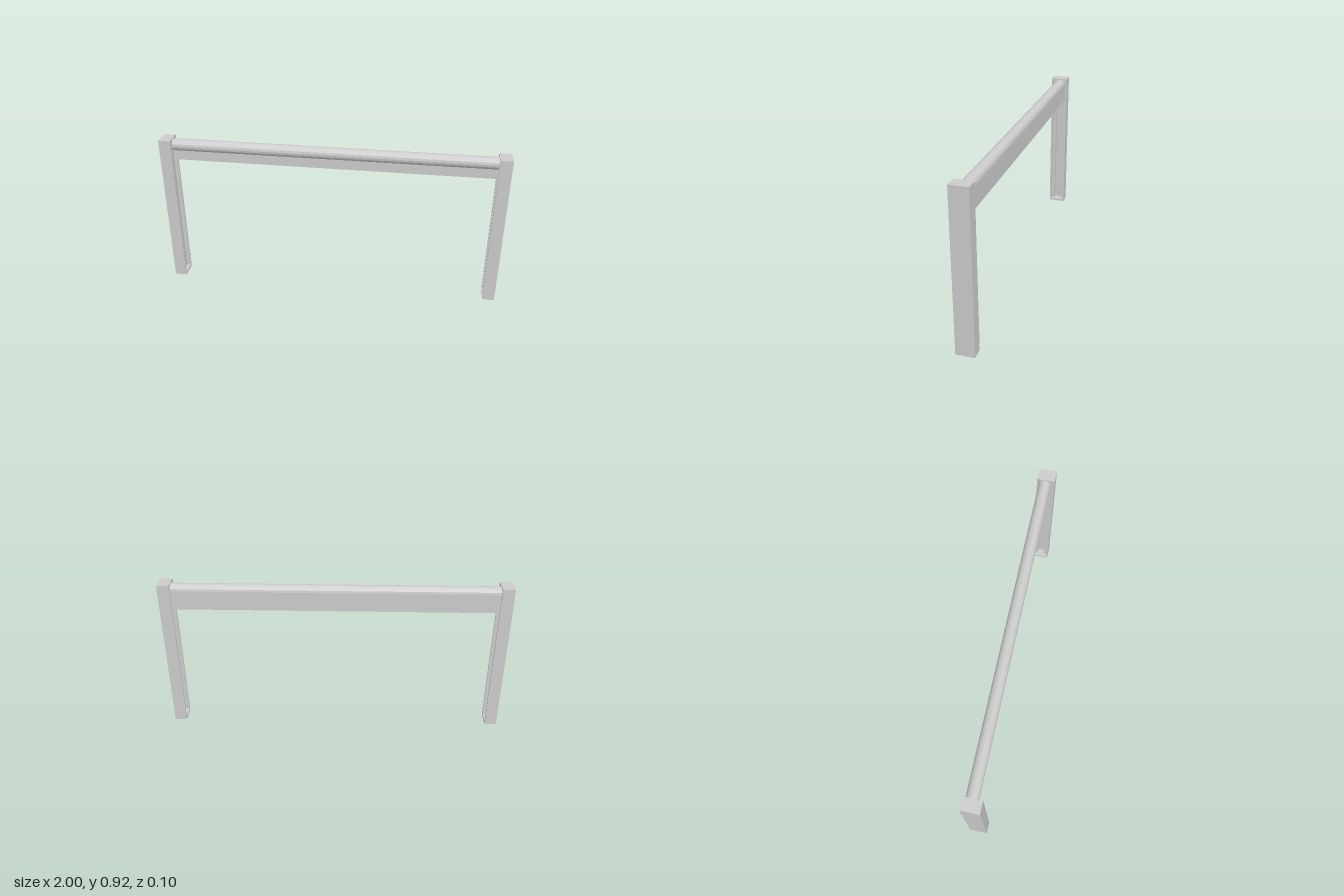
import * as THREE from 'three';

const HEIGHT = 0.92, DEPTH = 0.104, INNER = 0.93;

// Rectangular upright plate, optionally with a rectangular opening, extruded along -x
function plate(thickness, openHalf) {
  const h = DEPTH / 2;
  const shape = new THREE.Shape([
    new THREE.Vector2(-h, 0), new THREE.Vector2(h, 0),
    new THREE.Vector2(h, HEIGHT), new THREE.Vector2(-h, HEIGHT),
  ]);
  if (openHalf) {
    shape.holes.push(new THREE.Path([
      new THREE.Vector2(-openHalf, 0.014), new THREE.Vector2(-openHalf, HEIGHT - 0.01),
      new THREE.Vector2(openHalf, HEIGHT - 0.01), new THREE.Vector2(openHalf, 0.014),
    ]));
  }
  const geometry = new THREE.ExtrudeGeometry(shape, { depth: thickness, bevelEnabled: false });
  return geometry.rotateY(-Math.PI / 2);
}

export function createModel() {
  const model = new THREE.Group();
  const grey = new THREE.MeshStandardMaterial({ color: 0xcccccc, side: THREE.DoubleSide });
  const faceted = new THREE.MeshStandardMaterial({ color: 0xcccccc, flatShading: true });

  const add = (parent, name, geometry, material = grey) => {
    const mesh = new THREE.Mesh(geometry, material);
    mesh.name = name;
    parent.add(mesh);
    return mesh;
  };

  // Posts with a stepped guide channel on the inner side
  for (const [name, turn] of [['rightPost', 0], ['leftPost', Math.PI]]) {
    const post = new THREE.Group();
    post.name = name;
    add(post, 'channelRim', plate(0.025, 0.042)).position.x = -INNER;
    add(post, 'guideGroove', plate(0.025, 0.022)).position.x = -INNER - 0.025;
    add(post, 'outerWall', plate(0.02)).position.x = -INNER - 0.05;
    post.rotation.y = turn;
    model.add(post);
  }

  // Roller between the posts
  const roller = new THREE.CylinderGeometry(0.035, 0.035, 2 * INNER, 16).rotateZ(Math.PI / 2);
  add(model, 'roller', roller, faceted).position.set(0, 0.88, -0.005);

  // Thin screen hanging from the back of the roller
  const screen = new THREE.BoxGeometry(2 * INNER, 0.112, 0.003);
  add(model, 'screen', screen).position.set(0, 0.824, -0.0385);

  return model;
}
